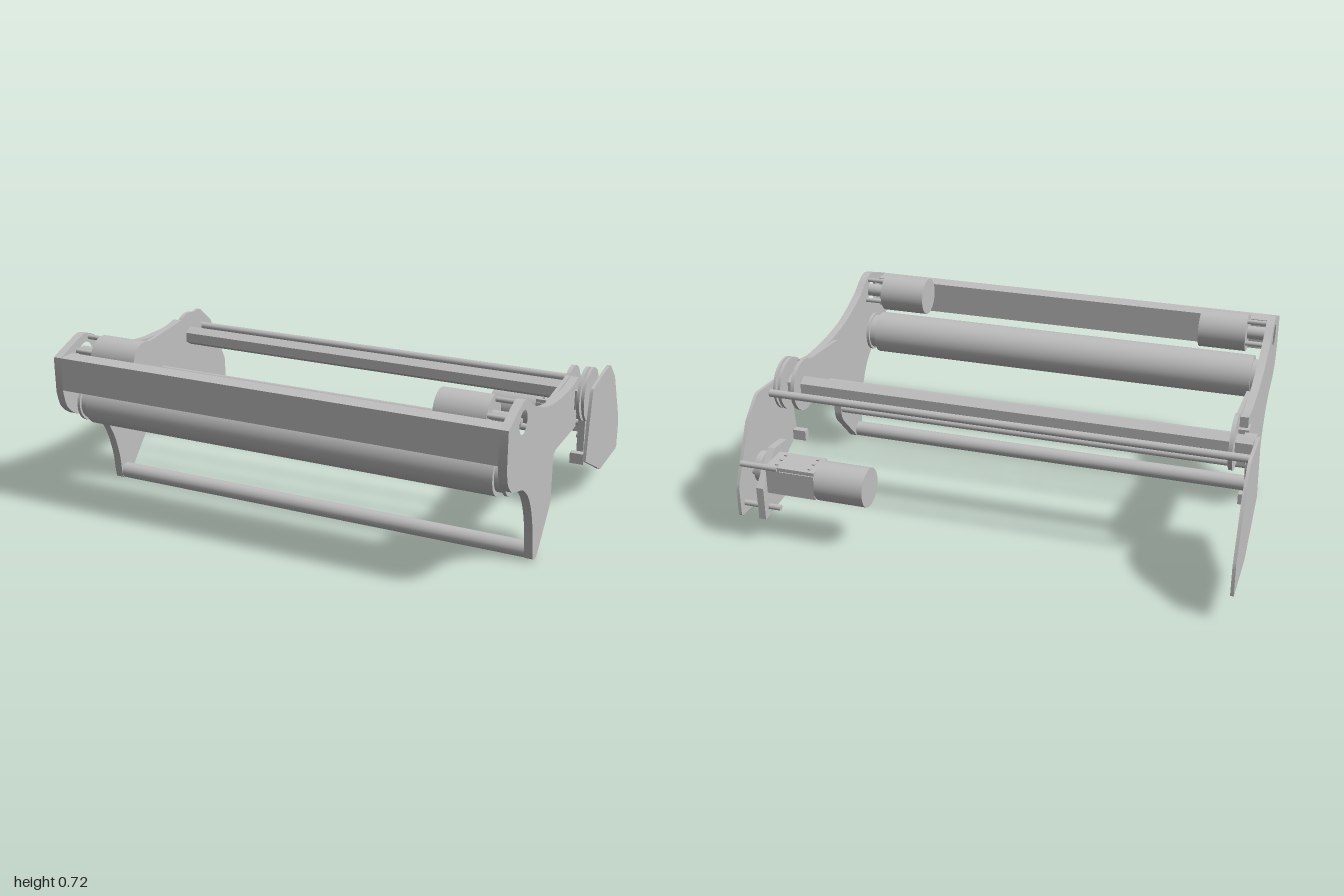
import * as THREE from 'three';
import { toCreasedNormals } from 'three/addons/utils/BufferGeometryUtils.js';

const metal = new THREE.MeshStandardMaterial({ color: 0xc0c0c0 });

export function createModel() {
  const model = new THREE.Group();
  const add = (name, geo) => {
    const mesh = new THREE.Mesh(geo, metal);
    mesh.name = name;
    model.add(mesh);
    return mesh;
  };
  // Box given by its limits
  const box = (name, x0, x1, y0, y1, z0, z1) =>
    add(name, new THREE.BoxGeometry(x1 - x0, y1 - y0, z1 - z0))
      .position.set((x0 + x1) / 2, (y0 + y1) / 2, (z0 + z1) / 2);
  // Cylinder lying along x
  const rod = (name, x0, x1, y, z, r, sides = 32) => {
    const geo = new THREE.CylinderGeometry(r, r, x1 - x0, sides);
    if (sides === 6) geo.rotateY(Math.PI / 6);
    geo.rotateZ(Math.PI / 2);
    const g = sides === 6 ? toCreasedNormals(geo, 0.3) : geo;
    add(name, g).position.set((x0 + x1) / 2, y, z);
  };
  // Outline in (z, y) extruded along x from x0 to x1
  const plate = (name, shape, x0, x1) => {
    const geo = new THREE.ExtrudeGeometry(shape, { depth: x1 - x0, bevelEnabled: false, curveSegments: 20 });
    geo.rotateY(Math.PI / 2);
    add(name, toCreasedNormals(geo, 0.5)).position.x = x0;
  };
  const pts = (list) => list.map(([z, y]) => new THREE.Vector2(-z, y));
  const circle = (z, y, r) => new THREE.Path().absarc(-z, y, r, 0, Math.PI * 2, true);

  // Curved side plate outline with a shaft hole
  const side = new THREE.Shape();
  side.moveTo(-0.7, 0.665);
  side.lineTo(-0.57, 0.713);
  side.splineThru(pts([[0.53, 0.721], [0.48, 0.705], [0.40, 0.657], [0.25, 0.602], [0.1, 0.577], [0, 0.572], [-0.1, 0.572], [-0.18, 0.585]]));
  side.lineTo(0.18, 0.375);
  side.lineTo(-0.09, 0.375);
  side.quadraticCurveTo(-0.125, 0.375, -0.125, 0.34);
  side.lineTo(-0.125, 0.2);
  side.quadraticCurveTo(-0.125, 0.165, -0.15, 0.14);
  side.lineTo(-0.27, 0.012);
  side.quadraticCurveTo(-0.3, -0.012, -0.33, 0.012);
  side.splineThru(pts([[0.336, 0.045], [0.348, 0.13], [0.38, 0.23], [0.43, 0.31], [0.5, 0.365], [0.57, 0.388], [0.63, 0.41], [0.68, 0.455], [0.7, 0.52]]));
  side.closePath();
  side.holes.push(circle(0.535, 0.64, 0.045));

  // Inner pivot plate: straight front, round rear end
  const pivot = new THREE.Shape();
  pivot.moveTo(-0.1, 0.38);
  pivot.lineTo(-0.1, 0.565);
  pivot.lineTo(0.17, 0.59);
  pivot.absarc(0.23, 0.5, 0.11, 2.1, -2.1, true);
  pivot.closePath();

  // Rear swinging plate
  const rear = new THREE.Shape(pts([
    [-0.22, 0.53], [-0.33, 0.545], [-0.465, 0.556], [-0.485, 0.548], [-0.57, 0.475], [-0.69, 0.25], [-0.695, 0.23],
    [-0.695, 0.115], [-0.685, 0.105], [-0.42, 0.105], [-0.165, 0.235], [-0.187, 0.4], [-0.208, 0.515]]));

  for (const s of [-1, 1]) {
    const span = (fn, name, a, b, ...rest) => fn(name, s > 0 ? a : -b, s > 0 ? b : -a, ...rest);
    const spanPlate = (name, shape, a, b) => plate(name, shape, s > 0 ? a : -b, s > 0 ? b : -a);
    spanPlate('sidePlate', side, 0.912, 0.945);
    spanPlate('pivotPlate', pivot, 0.896, 0.912);
    spanPlate('rearPlate', rear, 0.987, 1.0);
    span(box, 'rearPlateTab', 0.93, 0.987, 0.215, 0.26, -0.205, -0.175);
    span(box, 'stopBlock', 0.91, 0.952, 0.46, 0.54, -0.2, -0.14);
    span(rod, 'shaftHub', 0.94, 0.987, 0.5, -0.23, 0.042);
    // Roller motor with its standoffs and output shaft
    span(rod, 'rollerMotor', 0.63, 0.832, 0.64, 0.53, 0.081);
    span(rod, 'motorHub', 0.832, 0.925, 0.64, 0.535, 0.028);
    span(rod, 'motorShaft', 0.925, 0.938, 0.64, 0.535, 0.014);
    for (const a of [0.4, 1.97, 3.54, 5.11])
      span(rod, 'motorStandoff', 0.832, 0.912, 0.64 + 0.065 * Math.sin(a), 0.53 + 0.065 * Math.cos(a), 0.01, 12);
    // Roller end cap and bearing
    span(rod, 'rollerCap', 0.868, 0.9, 0.438, 0.53, 0.075);
    span(rod, 'rollerBearing', 0.9, 0.913, 0.438, 0.53, 0.085);
  }

  // Front beam, roller and cross bars
  box('frontBeam', -0.945, 0.945, 0.53, 0.665, 0.625, 0.7);
  rod('roller', -0.868, 0.868, 0.438, 0.53, 0.092, 48);
  rod('lowerBar', -0.912, 0.912, 0.034, 0.3, 0.033);
  rod('lowerCrossRod', -0.912, 0.912, 0.208, 0.145, 0.016, 20);
  rod('middleCrossRod', -0.9, 0.9, 0.41, 0, 0.014, 20);
  rod('rearCrossRod', -0.99, 0.99, 0.51, -0.37, 0.016, 20);
  rod('hexShaft', -0.978, 0.96, 0.5, -0.24, 0.042, 6);

  // Large sprocket on the drive side
  rod('driveSprocket', 0.955, 0.968, 0.5, -0.235, 0.11, 48);
  rod('sprocketCore', 0.968, 0.977, 0.5, -0.235, 0.085, 48);
  rod('sprocketFlange', 0.977, 0.987, 0.5, -0.235, 0.11, 48);

  // Rear drive motor, gearbox, mount and small sprocket
  rod('driveMotor', 0.467, 0.672, 0.268, -0.59, 0.08);
  box('gearbox', 0.672, 0.88, 0.215, 0.335, -0.66, -0.53);
  box('gearboxRib', 0.672, 0.82, 0.23, 0.32, -0.665, -0.525);
  const mount = new THREE.Shape(pts([[-0.47, 0.36], [-0.57, 0.37], [-0.695, 0.25], [-0.695, 0.11], [-0.47, 0.13]]));
  plate('motorMount', mount, 0.88, 0.91);
  rod('driveShaft', 0.83, 0.97, 0.268, -0.59, 0.018, 20);
  rod('smallSprocket', 0.93, 0.958, 0.268, -0.55, 0.065);
  for (const [z, y] of [[-0.655, 0.328], [-0.655, 0.15], [-0.5, 0.27]])
    rod('mountStandoff', 0.83, 0.99, y, z, 0.012, 16);
  // Gearbox bolts
  for (const x of [0.7, 0.84])
    for (const z of [-0.635, -0.595, -0.555])
      box('gearboxBolt', x - 0.006, x + 0.006, 0.33, 0.34, z - 0.006, z + 0.006);

  return model;
}
